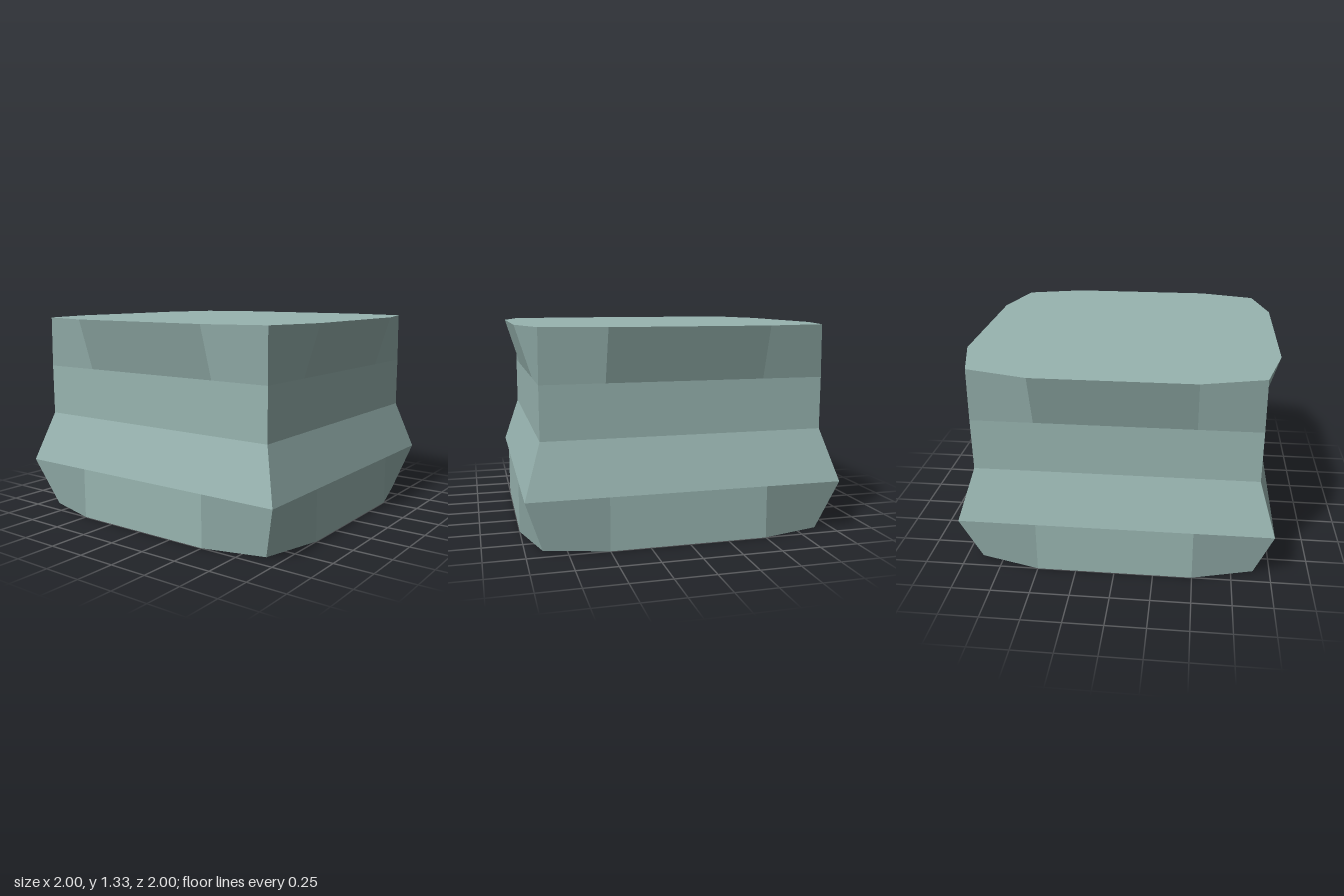
import * as THREE from 'three';

const stone = new THREE.MeshStandardMaterial({ color: 0x98b4b0 });
stone.name = 'greyTeal';

// Twelve-point outline: corners at (c, c), side points at +-0.5 pushed out to s
function ring(y, c, s) {
  const points = [];
  for (let side = 0; side < 4; side++) {
    for (let [x, z] of [[c, c], [0.5, s], [-0.5, s]]) {
      for (let k = 0; k < side; k++) [x, z] = [-z, x];
      points.push(new THREE.Vector3(x, y, z));
    }
  }
  return points;
}

// Builds a mesh from quads, each with one flat normal
function facetMesh(name, quads) {
  const positions = [];
  const normals = [];
  for (const [a, b, c, d] of quads) {
    const normal = c.clone().sub(a).cross(d.clone().sub(b)).normalize();
    const corners = a.distanceTo(c) <= b.distanceTo(d) ? [a, b, c, a, c, d] : [a, b, d, b, c, d];
    for (const p of corners) {
      positions.push(p.x, p.y, p.z);
      normals.push(normal.x, normal.y, normal.z);
    }
  }
  const geometry = new THREE.BufferGeometry();
  geometry.setAttribute('position', new THREE.Float32BufferAttribute(positions, 3));
  geometry.setAttribute('normal', new THREE.Float32BufferAttribute(normals, 3));
  const mesh = new THREE.Mesh(geometry, stone);
  mesh.name = name;
  return mesh;
}

function band(name, low, high) {
  return facetMesh(name, low.map((p, i) => {
    const j = (i + 1) % low.length;
    return [low[j], p, high[i], high[j]];
  }));
}

// Flat end face, as a strip of six quads around the centre
function cap(name, outline, up) {
  const centre = new THREE.Vector3(0, outline[0].y, 0);
  const quads = [];
  for (let i = 0; i < 12; i += 2) {
    const [p, q, r] = [outline[i], outline[i + 1], outline[(i + 2) % 12]];
    quads.push(up ? [centre, r, q, p] : [centre, p, q, r]);
  }
  return facetMesh(name, quads);
}

export function createModel() {
  const group = new THREE.Group();
  group.name = 'pedestalBlock';

  // Outlines from the ground up
  const bottom = ring(0, 0.893, 1);
  const rim = ring(1 / 3, 1, 1);
  const waistLow = ring(2 / 3, 0.896, 0.896);
  const waistHigh = ring(1, 0.896, 0.896);
  const top = ring(4 / 3, 0.893, 1);

  group.add(
    cap('underside', bottom, false),
    band('base', bottom, rim),
    band('slope', rim, waistLow),
    band('waist', waistLow, waistHigh),
    band('flare', waistHigh, top),
    cap('topFace', top, true),
  );
  return group;
}
